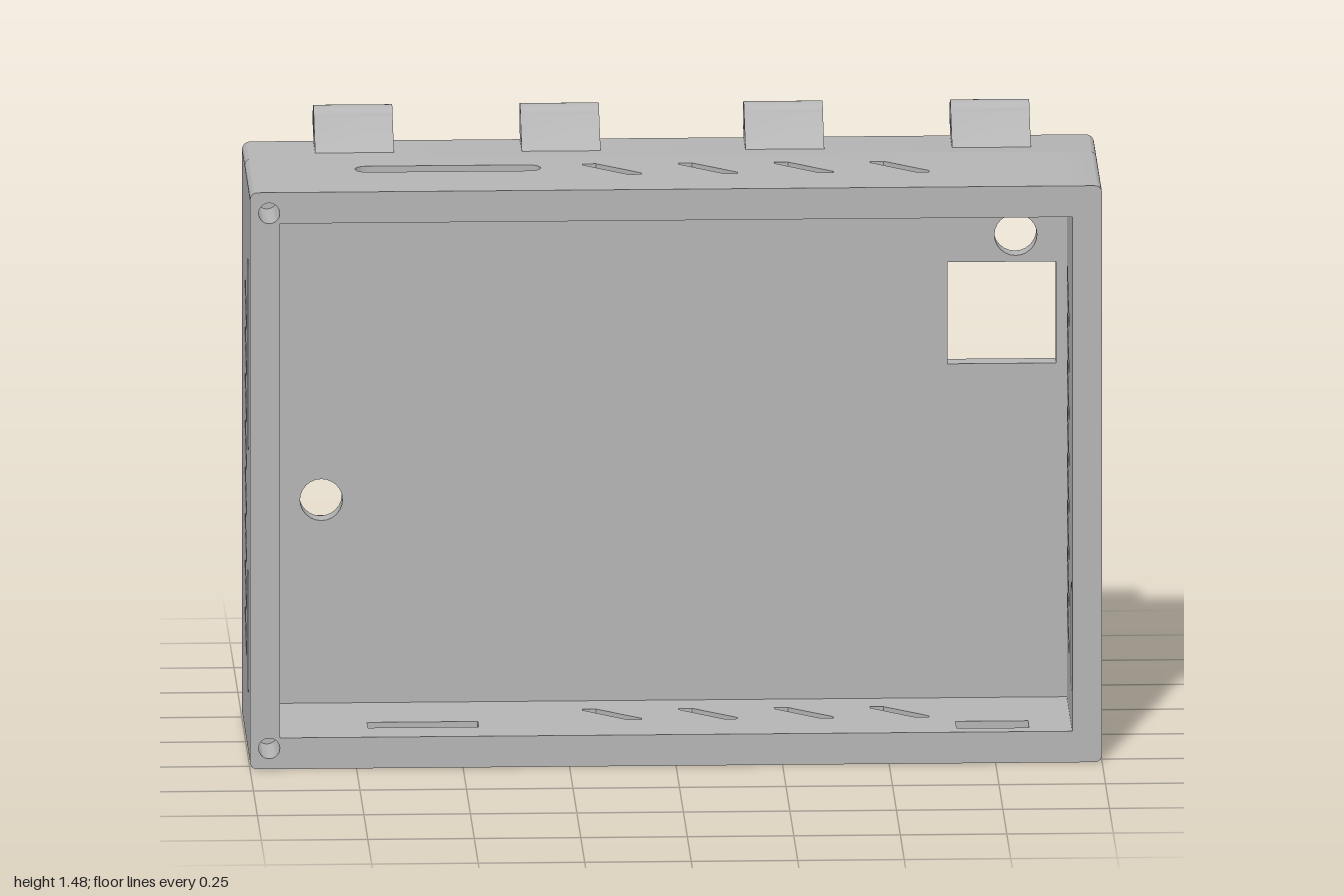
import * as THREE from 'three';
import { toCreasedNormals } from 'three/addons/utils/BufferGeometryUtils.js';

const W = 1, H = 1.39, FRONT = 0.28, BACK = -0.24; // outer case
const IX = 0.93, IY0 = 0.075, IY1 = 1.315;         // inner cavity
const FLOOR = -0.07;                               // front face of the partition

const poly = (pts, T = THREE.Path) => new T(pts.map(([x, y]) => new THREE.Vector2(x, y)));
const rect = (x0, y0, x1, y1, T) => poly([[x0, y0], [x1, y0], [x1, y1], [x0, y1]], T);
const circle = (x, y, r) => new THREE.Path().absarc(x, y, r, 0, Math.PI * 2, false);

function roundRect(x0, y0, x1, y1, r, T = THREE.Path) {
  const p = new T();
  p.absarc(x1 - r, y1 - r, r, 0, Math.PI / 2, false);
  p.absarc(x0 + r, y1 - r, r, Math.PI / 2, Math.PI, false);
  p.absarc(x0 + r, y0 + r, r, Math.PI, Math.PI * 1.5, false);
  p.absarc(x1 - r, y0 + r, r, Math.PI * 1.5, Math.PI * 2, false);
  p.closePath();
  return p;
}

function extrude(shape, holes, depth) {
  shape.holes.push(...holes);
  const g = new THREE.ExtrudeGeometry(shape, { depth, bevelEnabled: false, curveSegments: 12 });
  return toCreasedNormals(g, 0.6);
}

export function createModel() {
  const group = new THREE.Group();
  const grey = new THREE.MeshStandardMaterial({ color: 0xb4b4b4 });
  grey.name = 'grey plastic';
  const add = (name, geo) => {
    const m = new THREE.Mesh(geo, grey);
    m.name = name;
    group.add(m);
    return m;
  };

  // Back layers: partition, shelf and rear rim
  const layer = (name, z0, z1, holes) =>
    add(name, extrude(roundRect(-W, 0, W, H, 0.02, THREE.Shape), holes, z1 - z0).translate(0, 0, z0));
  layer('partition', -0.12, FLOOR, [
    rect(0.65, 0.88, 0.905, 1.125), circle(0.81, 1.19, 0.05), circle(-0.82, 0.565, 0.05),
  ]);
  layer('rearShelf', -0.19, -0.12, [
    rect(-0.7, 0.25, IX, 1.325), rect(-0.91, 0.5, -0.73, 1.18),
  ]);
  layer('rearRim', BACK, -0.19, [
    rect(-IX, 0.145, IX, 1.325), circle(-0.87, 0.065, 0.048), circle(0.87, 0.065, 0.048),
  ]);

  // Corner posts with blind screw holes
  for (const sx of [-1, 1]) for (const top of [false, true]) {
    const x0 = sx < 0 ? -W : IX, x1 = sx < 0 ? -IX : W;
    const y0 = top ? IY1 : 0, y1 = top ? H : IY0, r = 0.02;
    const ox = sx * W, oy = top ? H : 0, sy = top ? -1 : 1; // outer corner, inward y
    const ix = sx < 0 ? x1 : x0, iy = top ? y0 : y1;
    const s = new THREE.Shape();
    s.moveTo(ix, iy);
    s.lineTo(ox, iy);
    s.lineTo(ox, oy + sy * r);
    s.quadraticCurveTo(ox, oy, ox - sx * r, oy);
    s.lineTo(ix, oy);
    const hole = circle(sx * 0.955, top ? 1.34 : 0.05, 0.025);
    add('cornerPost', extrude(s, [hole], FRONT - 0.13).translate(0, 0, 0.13));
    const base = s.clone();
    base.holes = [];
    add('cornerPostBase', extrude(base, [], 0.13 - FLOOR).translate(0, 0, FLOOR));
  }

  // Side walls: drawn with u = -z, then turned to face along x
  const sideVents = () => Array.from({ length: 8 }, (_, i) => poly(
    [[-0.058, 0.21], [-0.042, 0.211], [0.055, 0.305], [0.055, 0.335], [0.042, 0.333], [-0.058, 0.24]]
      .map(([u, v]) => [u, v + i * 0.1125])));
  const sideWall = (name, x, slots) =>
    add(name, extrude(rect(-FRONT, IY0, -FLOOR, IY1, THREE.Shape), [...sideVents(), ...slots], W - IX)
      .rotateY(Math.PI / 2).translate(x, 0, 0));
  sideWall('leftWall', IX, [roundRect(-0.265, 0.16, -0.185, 0.42, 0.039)]);
  sideWall('rightWall', -W, [
    roundRect(-0.182, 0.74, -0.115, 1.2, 0.033), roundRect(-0.182, 0.155, -0.115, 0.45, 0.033),
  ]);

  // Top and bottom walls: drawn with v = -z, then laid flat
  const topVents = () => Array.from({ length: 4 }, (_, i) => poly(
    [[-0.21, -0.015], [-0.178, -0.015], [-0.075, -0.112], [-0.075, -0.125], [-0.107, -0.125], [-0.21, -0.026]]
      .map(([u, v]) => [u + i * 0.225, v])));
  const flatWall = (name, y0, y1, slots) =>
    add(name, extrude(rect(-IX, -FRONT, IX, -FLOOR, THREE.Shape), [...topVents(), ...slots], y1 - y0)
      .rotateX(-Math.PI / 2).translate(0, y0, 0));
  flatWall('topWall', IY1, H, [roundRect(-0.745, -0.08, -0.31, -0.02, 0.029)]);
  flatWall('bottomWall', 0, IY0, [
    rect(-0.72, -0.185, -0.46, -0.13), rect(0.66, -0.24, 0.83, -0.17),
  ]);

  // Hinge knuckles: hollow barrel with a sloped bracket
  const cu = 0.24, cv = 1.438, R = 0.038, hingeW = 0.185;
  for (const x of [-0.74, -0.255, 0.27, 0.755]) {
    const s = new THREE.Shape();
    s.moveTo(0.11, H - 0.005);
    s.lineTo(cu - 0.01, H - 0.005);
    s.absarc(cu, cv, R, -Math.PI / 2, Math.PI * 0.86, false);
    s.closePath();
    add('hingeKnuckle', extrude(s, [circle(cu, cv, 0.03)], hingeW)
      .rotateY(Math.PI / 2).translate(x - hingeW / 2, 0, 0));
  }
  return group;
}
